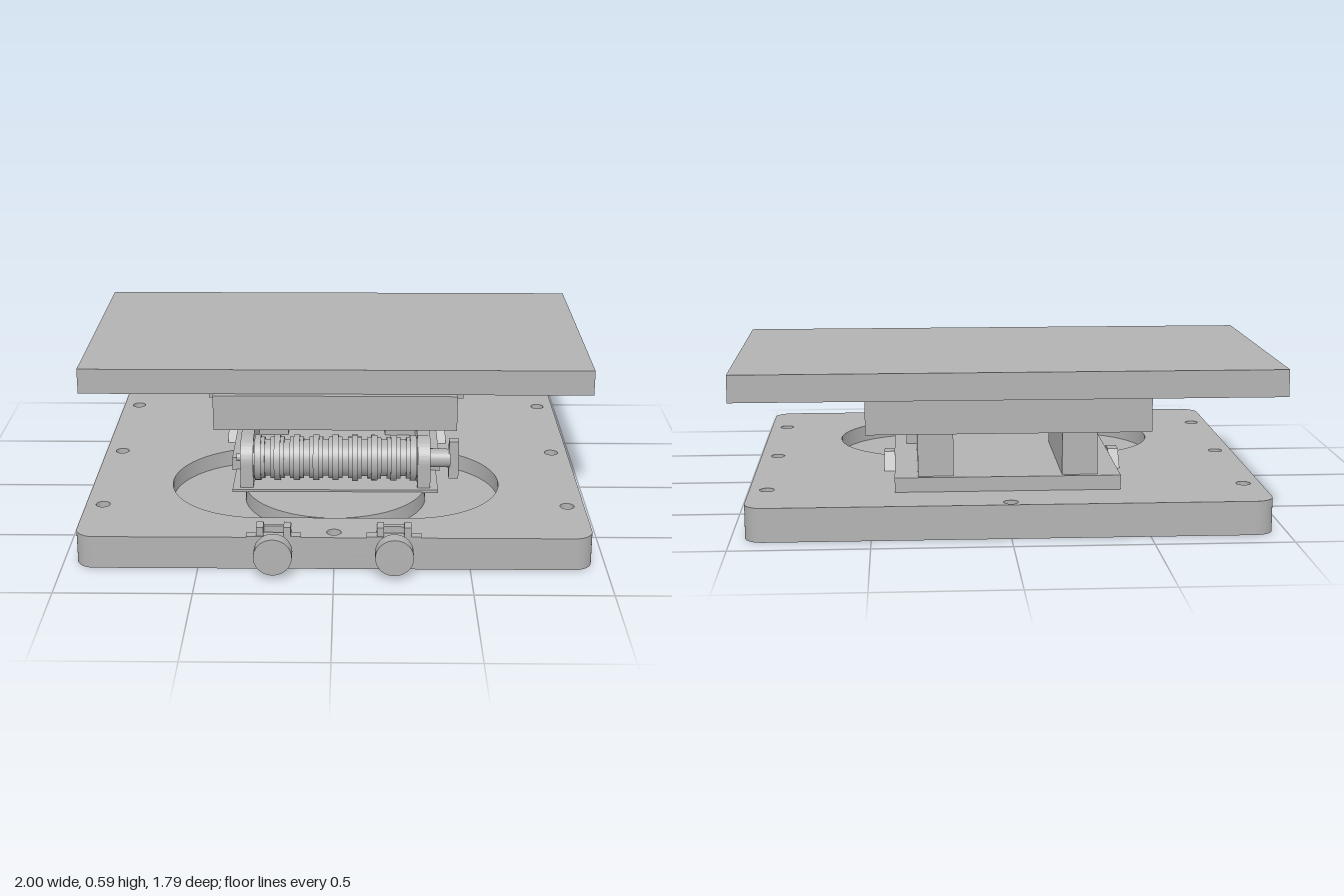
import * as THREE from 'three';
import { toCreasedNormals } from 'three/addons/utils/BufferGeometryUtils.js';

export function createModel() {
  const model = new THREE.Group();
  const grey = new THREE.MeshStandardMaterial({ color: 0xb2b2b2 });
  grey.name = 'plain grey';

  const add = (name, geometry, x = 0, y = 0, z = 0, parent = model) => {
    const mesh = new THREE.Mesh(geometry, grey);
    mesh.name = name;
    mesh.position.set(x, y, z);
    parent.add(mesh);
    return mesh;
  };
  // Box given by its limits
  const box = (name, x0, x1, y0, y1, z0, z1, parent) =>
    add(name, new THREE.BoxGeometry(x1 - x0, y1 - y0, z1 - z0),
      (x0 + x1) / 2, (y0 + y1) / 2, (z0 + z1) / 2, parent);
  // Cylinder lying along x or z
  const rod = (name, axis, r, a, b, p, q, parent) => {
    const g = new THREE.CylinderGeometry(r, r, b - a, 40);
    if (axis === 'x') g.rotateZ(Math.PI / 2); else g.rotateX(Math.PI / 2);
    const m = (a + b) / 2;
    return axis === 'x' ? add(name, g, m, p, q, parent) : add(name, g, p, q, m, parent);
  };
  // Flat plan shape (x, -z) raised from y0 to y1
  const slab = (name, shape, y0, y1, parent) => {
    const g = new THREE.ExtrudeGeometry(shape, { depth: y1 - y0, bevelEnabled: false, curveSegments: 16 });
    g.rotateX(-Math.PI / 2);
    return add(name, toCreasedNormals(g, 0.5), 0, y0, 0, parent);
  };
  // Side profile, drawn in (-z, y), extruded from x0 to x1
  const side = (name, shape, x0, x1, parent) => {
    const g = new THREE.ExtrudeGeometry(shape, { depth: x1 - x0, bevelEnabled: false, curveSegments: 24 });
    g.rotateY(Math.PI / 2);
    return add(name, toCreasedNormals(g, 0.5), x0, 0, 0, parent);
  };
  const polygon = (T, points) => new T(points.map(([z, y]) => new THREE.Vector2(-z, y)));
  const roundedRect = (T, x0, x1, z0, z1, r) => {
    const s = new T();
    s.absarc(x1 - r, -z0 - r, r, 0, Math.PI / 2);
    s.absarc(x0 + r, -z0 - r, r, Math.PI / 2, Math.PI);
    s.absarc(x0 + r, -z1 + r, r, Math.PI, Math.PI * 1.5);
    s.absarc(x1 - r, -z1 + r, r, Math.PI * 1.5, Math.PI * 2);
    s.closePath();
    return s;
  };

  // Base: stacked layers with screw holes, waffle pockets and a sliding recess
  const base = new THREE.Group();
  base.name = 'base';
  model.add(base);
  const screws = [[0, -0.86], [0, 0.74]];
  for (const z of [-0.63, -0.07, 0.49]) screws.push([-0.885, z], [0.885, z]);
  const pockets = [];
  const cz = 0.25, recessR = 0.36, recessX = 0.28;
  for (let row = 0; row < 10; row++) {
    for (let col = -4; col <= 4; col++) {
      const x = col * 0.175, z = -0.81 + row * 0.168;
      if (row === 0 && col === 0) continue;
      if (row === 9 && Math.abs(col) < 3) continue;
      if (row === 6 && Math.abs(col) < 3) continue;
      const d = Math.hypot(Math.max(0, Math.abs(x) - recessX), z - cz);
      pockets.push({ x, z, deep: d > recessR + 0.1 });
    }
  }
  const baseLayer = (y0, y1, { holeR = 0.016, pocket = () => false, recess = false, slot = false }) => {
    const s = roundedRect(THREE.Shape, -0.95, 0.95, -0.9, 0.79, 0.07);
    for (const [x, z] of screws) s.holes.push(new THREE.Path().absarc(x, -z, holeR, 0, Math.PI * 2));
    for (const { x, z } of pockets.filter(pocket)) {
      const a = 0.065, b = 0.062;
      s.holes.push(new THREE.Path([[-a, -b], [a, -b], [a, b], [-a, b]]
        .map(([u, v]) => new THREE.Vector2(x + u, v - z))));
    }
    if (recess) s.holes.push(roundedRect(THREE.Path, -0.64, 0.64, cz - recessR, cz + recessR, recessR - 0.001));
    if (slot) s.holes.push(roundedRect(THREE.Path, -0.3, 0.3, 0.17, 0.23, 0.029));
    slab('baseLayer', s, y0, y1, base);
  };
  baseLayer(0, 0.03, { pocket: () => true, slot: true });
  baseLayer(0.03, 0.06, { pocket: p => p.deep, slot: true });
  baseLayer(0.06, 0.1, { pocket: p => p.deep, recess: true });
  baseLayer(0.1, 0.125, { holeR: 0.027, recess: true });

  // Sliding disc and carriage plate
  add('slidingDisc', new THREE.CylinderGeometry(0.355, 0.355, 0.06, 64), 0, 0.092, cz);
  box('carriageSheet', -0.4, 0.4, 0.118, 0.13, -0.69, 0.35);
  box('carriagePlate', -0.415, 0.415, 0.126, 0.18, -0.7, 0.14);

  // Posts, roller arms and guide wedges on both sides
  const arm = new THREE.Shape();
  arm.moveTo(0.12, 0.15);
  arm.lineTo(0.12, 0.345);
  arm.lineTo(0.04, 0.34);
  arm.lineTo(-0.225, 0.313);
  arm.absarc(-0.235, 0.22, 0.095, Math.PI / 2, Math.PI);
  arm.lineTo(-0.33, 0.128);
  arm.lineTo(0.12, 0.128);
  const wedge = polygon(THREE.Shape, [[-0.17, 0.125], [-0.24, 0.19], [-0.3, 0.19], [-0.36, 0.125]]);
  for (const s of [-1, 1]) {
    const span = (a, b) => (s > 0 ? [a, b] : [-b, -a]);
    box('post', ...span(0.2, 0.33), 0.17, 0.347, -0.68, -0.12);
    side('rollerArm', arm, ...span(0.32, 0.37));
    side('guideWedge', wedge, ...span(0.415, 0.455));
  }

  // Ribbed roller with axle and crank plate
  const roller = new THREE.Group();
  roller.name = 'roller';
  model.add(roller);
  rod('rollerCore', 'x', 0.072, -0.32, 0.32, 0.22, 0.235, roller);
  for (let i = -4; i <= 4; i++) {
    const x = i * 0.076;
    rod('rollerRing', 'x', 0.082, x - 0.027, x + 0.027, 0.22, 0.235, roller);
    rod('rollerRib', 'x', 0.09, x - 0.012, x + 0.012, 0.22, 0.235, roller);
  }
  rod('axle', 'x', 0.036, 0.36, 0.45, 0.22, 0.235, roller);
  rod('axleEnd', 'x', 0.016, -0.39, -0.36, 0.22, 0.235, roller);
  rod('lockPin', 'x', 0.018, 0.36, 0.385, 0.22, 0.18, roller);
  box('crankPlate', 0.445, 0.483, 0.143, 0.297, 0.218, 0.26, roller);

  // Upper supports and table top
  box('frontSupport', -0.475, 0.472, 0.352, 0.492, -0.11, 0.282);
  box('backSupport', -0.525, 0.52, 0.345, 0.492, -0.72, -0.11);
  box('tableTop', -1, 1, 0.49, 0.59, -0.83, 0.257);

  // Clamp knobs at the front edge
  const tab = polygon(THREE.Shape, [[0.79, 0.12], [0.79, 0.165], [0.75, 0.17], [0.695, 0.13], [0.695, 0.12]]);
  for (const x of [-0.22, 0.22]) {
    const clamp = new THREE.Group();
    clamp.name = 'clamp';
    clamp.position.x = x;
    model.add(clamp);
    rod('knob', 'z', 0.07, 0.835, 0.89, 0, 0.09, clamp);
    rod('knobStem', 'z', 0.02, 0.72, 0.84, 0, 0.09, clamp);
    box('clampBar', -0.06, 0.06, 0.12, 0.15, 0.725, 0.745, clamp);
    box('clampFoot', -0.1, 0.1, 0.11, 0.13, 0.755, 0.793, clamp);
    for (const c of [-0.05, 0.05]) side('clampTab', tab, c - 0.013, c + 0.013, clamp);
  }

  return model;
}
